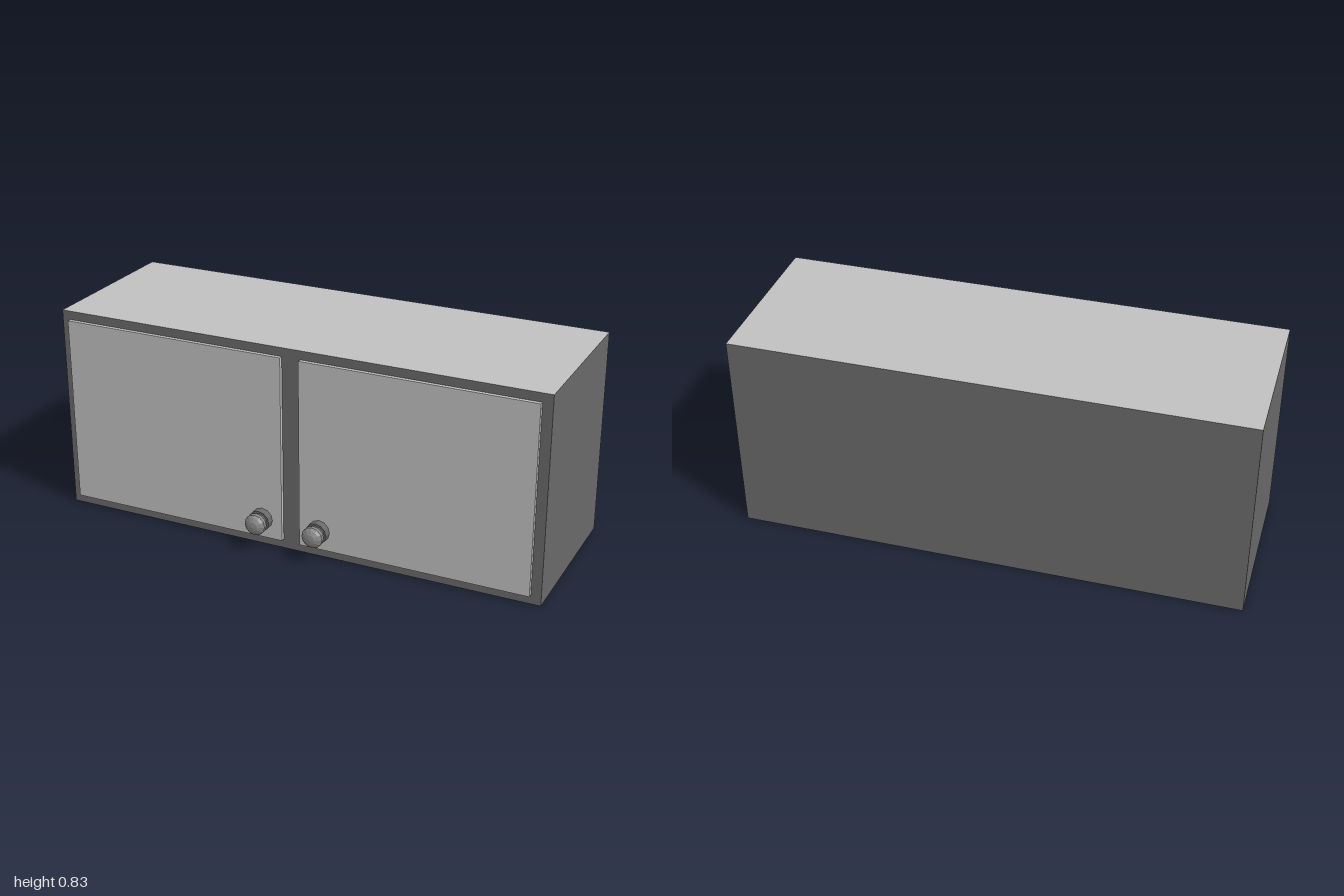
import * as THREE from 'three';

const material = (name, color) => {
  const m = new THREE.MeshStandardMaterial({ color });
  m.name = name;
  return m;
};

export function createModel() {
  const darkGrey = material('dark grey', 0x696969);
  const silver = material('silver', 0xc0c0c0);
  const knobGrey = material('knob grey', 0x868686);
  const cabinet = new THREE.Group();
  cabinet.name = 'wallCabinet';

  function box(name, mat, [x0, x1], [y0, y1], [z0, z1]) {
    const mesh = new THREE.Mesh(new THREE.BoxGeometry(x1 - x0, y1 - y0, z1 - z0), mat);
    mesh.position.set((x0 + x1) / 2, (y0 + y1) / 2, (z0 + z1) / 2);
    mesh.name = name;
    cabinet.add(mesh);
  }

  // Carcass, with a silver top face
  box('carcass', [darkGrey, darkGrey, silver, darkGrey, darkGrey, darkGrey],
    [-1, 1], [0, 0.83], [-0.387, 0.287]);

  // Doors stand slightly proud of the front
  box('rightDoor', silver, [-0.967, -0.041], [0.037, 0.795], [0.287, 0.303]);
  box('leftDoor', silver, [0.034, 0.96], [0.037, 0.795], [0.287, 0.303]);

  // Faceted turned part, its axis pointing forward
  function turned(name, mat, profile) {
    const points = profile.map(([r, z]) => new THREE.Vector2(r, z));
    const geometry = new THREE.LatheGeometry(points, 12).toNonIndexed();
    geometry.computeVertexNormals();
    geometry.rotateX(Math.PI / 2);
    const mesh = new THREE.Mesh(geometry, mat);
    mesh.name = name;
    return mesh;
  }

  // Door knobs: a collar and neck carrying a domed head
  for (const [name, x] of [['rightKnob', -0.125], ['leftKnob', 0.118]]) {
    const knob = new THREE.Group();
    knob.name = name;
    knob.position.set(x, 0.116, 0.303);
    knob.add(
      turned('knobBase', darkGrey,
        [[0, 0], [0.044, 0], [0.044, 0.031], [0.036, 0.031], [0.036, 0.05]]),
      turned('knobHead', knobGrey,
        [[0.036, 0.048], [0.043, 0.048], [0.043, 0.064], [0.034, 0.074], [0.02, 0.083], [0, 0.086]]),
    );
    cabinet.add(knob);
  }
  return cabinet;
}
